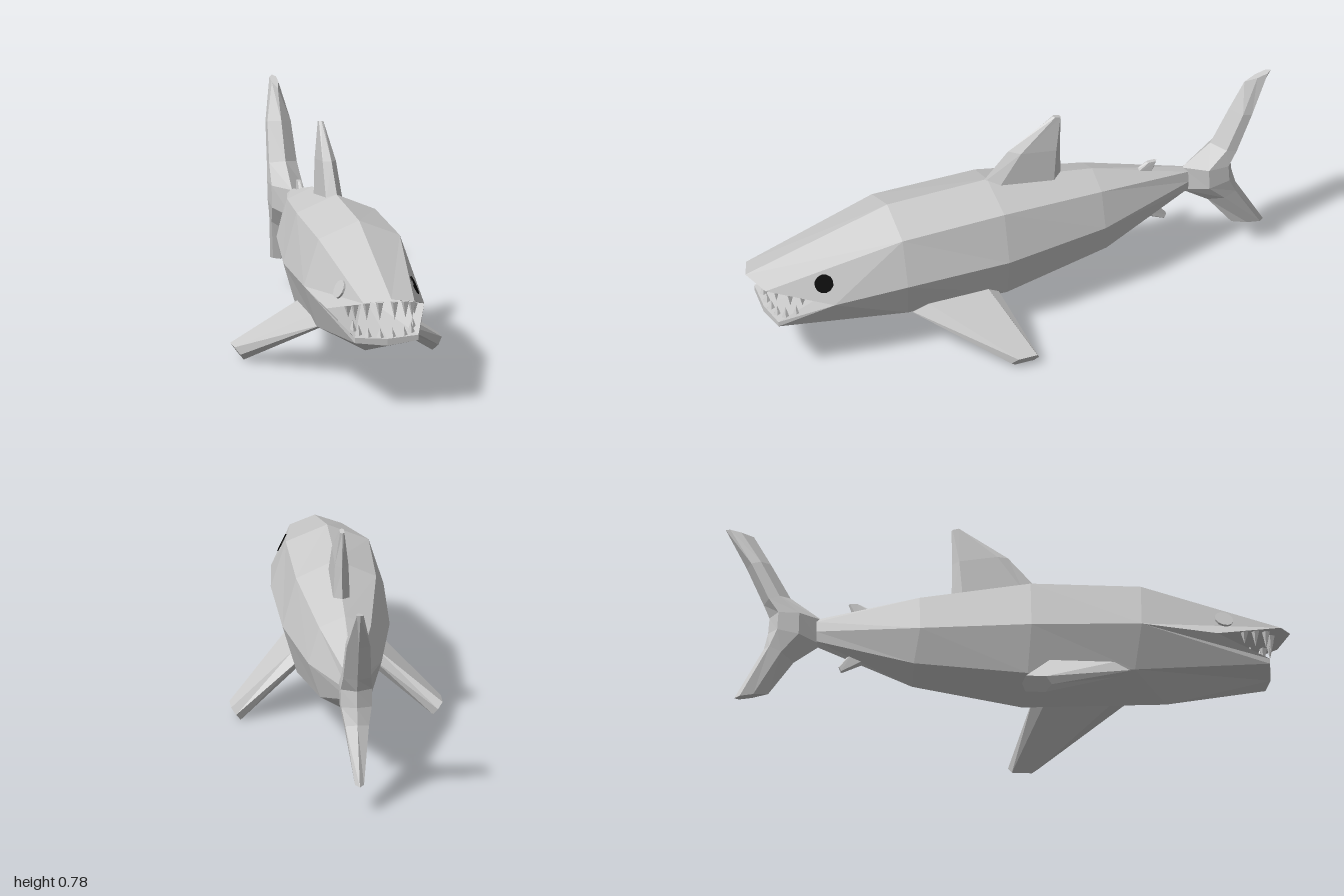
import * as THREE from 'three';

const grey = new THREE.MeshStandardMaterial({ color: 0xcccccc, flatShading: true });
const black = new THREE.MeshStandardMaterial({ color: 0x050505, flatShading: true });
const V = (x, y, z) => new THREE.Vector3(x, y, z);

// Fan-triangulates polygons into one faceted mesh
function polyMesh(name, polys) {
  const points = [];
  let volume = 0;
  for (const p of polys) {
    for (let i = 1; i < p.length - 1; i++) {
      points.push(p[0], p[i], p[i + 1]);
      volume += p[0].dot(V(0, 0, 0).crossVectors(p[i], p[i + 1]));
    }
  }
  // Turn the surface outward
  if (volume < 0) points.reverse();
  const geometry = new THREE.BufferGeometry().setFromPoints(points);
  geometry.computeVertexNormals();
  const mesh = new THREE.Mesh(geometry, grey);
  mesh.name = name;
  return mesh;
}

// Closed skin over equal-sized cross-sections
function loft(name, rings) {
  const n = rings[0].length;
  const polys = [[...rings[0]].reverse(), rings[rings.length - 1]];
  for (let r = 0; r < rings.length - 1; r++) {
    for (let k = 0; k < n; k++) {
      const j = (k + 1) % n;
      polys.push([rings[r][k], rings[r][j], rings[r + 1][j], rings[r + 1][k]]);
    }
  }
  return polyMesh(name, polys);
}

// Six-sided fin section: sharp at both edges, full thickness from a to b
function section(lead, trail, half, a = 0.2, b = 0.88) {
  const at = (t, s) => lead.clone().lerp(trail, t).addScaledVector(half, s);
  return [lead, at(a, 1), at(b, 1), trail, at(b, -1), at(a, -1)];
}

// Upright fin from [leadZ, leadY, trailZ, trailY, halfThickness] rows
function uprightFin(name, rows, a, b) {
  return loft(name, rows.map(([lz, ly, tz, ty, t]) =>
    section(V(0, ly, lz), V(0, ty, tz), V(t, 0, 0), a, b)));
}

function makeBody() {
  // Left half of each ring, from the back ridge down to the belly
  const rings = [
    [V(0, 0.578, 0.46), V(0.147, 0.518, 0.46), V(0.2, 0.35, 0.46), V(0.147, 0.195, 0.44), V(0, 0.13, 0.56)],
    [V(0, 0.582, 0.08), V(0.142, 0.52, 0.07), V(0.19, 0.34, 0.07), V(0.14, 0.172, 0.06), V(0, 0.102, 0.05)],
    [V(0, 0.515, -0.32), V(0.092, 0.475, -0.32), V(0.13, 0.34, -0.32), V(0.09, 0.22, -0.34), V(0, 0.17, -0.34)],
    [V(0, 0.42, -0.68), V(0.014, 0.405, -0.68), V(0.02, 0.365, -0.68), V(0.014, 0.33, -0.68), V(0, 0.315, -0.68)],
  ];
  const half = [];
  for (let r = 0; r < 3; r++) {
    for (let k = 0; k < 4; k++) {
      half.push([rings[r][k], rings[r][k + 1], rings[r + 1][k + 1], rings[r + 1][k]]);
    }
  }
  // Head with open mouth
  const [top, shoulder, side, low, belly] = rings[0];
  const tip = V(0, 0.42, 1), snout = V(0.092, 0.4, 0.96), corner = V(0.177, 0.332, 0.73);
  const lip = V(0.115, 0.267, 0.92), lipMid = V(0, 0.26, 0.93);
  const chin = V(0.115, 0.248, 0.92), chinMid = V(0, 0.235, 0.93), throat = V(0, 0.32, 0.52);
  half.push(
    [tip, snout, shoulder, top],
    [corner, side, shoulder, snout],
    [corner, lip, chin, low, side],
    [chin, chinMid, belly, low],
    [lip, lipMid, chinMid, chin],
    [throat, snout, tip], [throat, corner, snout],
    [throat, lip, corner], [throat, lipMid, lip],
  );
  const mirrored = half.map(p => p.map(v => V(-v.x, v.y, v.z)).reverse());
  return polyMesh('body', [...half, ...mirrored]);
}

function makeTeeth() {
  const teeth = new THREE.Group();
  teeth.name = 'teeth';
  // [x, base y, z, height, direction]
  const rows = [
    [0.027, 0.395, 0.93, 0.065, -1], [0.07, 0.39, 0.91, 0.062, -1],
    [0.103, 0.377, 0.87, 0.058, -1], [0.12, 0.365, 0.83, 0.045, -1],
    [0.022, 0.262, 0.91, 0.034, 1], [0.065, 0.264, 0.905, 0.036, 1],
    [0.095, 0.268, 0.885, 0.042, 1], [0.108, 0.275, 0.85, 0.042, 1],
  ];
  for (const [x, y, z, h, dir] of rows) {
    for (const s of [1, -1]) {
      const tooth = new THREE.Mesh(new THREE.ConeGeometry(0.015, h, 5), grey);
      tooth.name = dir < 0 ? 'upperTooth' : 'lowerTooth';
      tooth.position.set(s * x, y + dir * h / 2, z);
      if (dir < 0) tooth.rotation.x = Math.PI;
      teeth.add(tooth);
    }
  }
  return teeth;
}

export function createModel() {
  const shark = new THREE.Group();
  shark.name = 'shark';
  shark.add(makeBody(), makeTeeth());

  shark.add(uprightFin('dorsalFin', [
    [0.11, 0.56, -0.2, 0.51, 0.03],
    [0.0, 0.682, -0.198, 0.65, 0.024],
    [-0.17, 0.79, -0.2, 0.782, 0.008],
  ]));
  shark.add(uprightFin('rearDorsalFin', [
    [-0.46, 0.45, -0.545, 0.425, 0.012],
    [-0.525, 0.483, -0.565, 0.482, 0.007],
  ]));
  shark.add(uprightFin('analFin', [
    [-0.48, 0.265, -0.56, 0.295, 0.012],
    [-0.59, 0.215, -0.6, 0.238, 0.007],
  ]));
  shark.add(uprightFin('tailFin', [
    [-0.9, 0.735, -1, 0.76, 0.012],
    [-0.84, 0.63, -0.925, 0.61, 0.042],
    [-0.77, 0.5, -0.865, 0.47, 0.05],
    [-0.66, 0.42, -0.845, 0.42, 0.056],
    [-0.66, 0.322, -0.85, 0.36, 0.054],
    [-0.76, 0.25, -0.865, 0.3, 0.042],
    [-0.85, 0.125, -0.97, 0.105, 0.016],
  ], 0.45, 0.85));

  for (const s of [1, -1]) {
    // Pectoral fins sweep out and down
    const thick = V(s * 0.017, 0.023, 0);
    const fin = loft('pectoralFin', [
      section(V(s * 0.125, 0.205, 0.45), V(s * 0.125, 0.205, 0.1), thick),
      section(V(s * 0.358, 0.029, 0.13), V(s * 0.358, 0.029, 0.025), thick),
    ]);
    shark.add(fin);

    // Eyes lie flat on the cheeks
    const eye = new THREE.Mesh(new THREE.CylinderGeometry(0.034, 0.034, 0.008, 12), s > 0 ? black : grey);
    eye.name = s > 0 ? 'leftEye' : 'rightEye';
    eye.position.set(s * 0.135, 0.406, 0.755);
    eye.quaternion.setFromUnitVectors(V(0, 1, 0), V(s * 0.886, 0.417, 0.2).normalize());
    shark.add(eye);
  }
  return shark;
}
